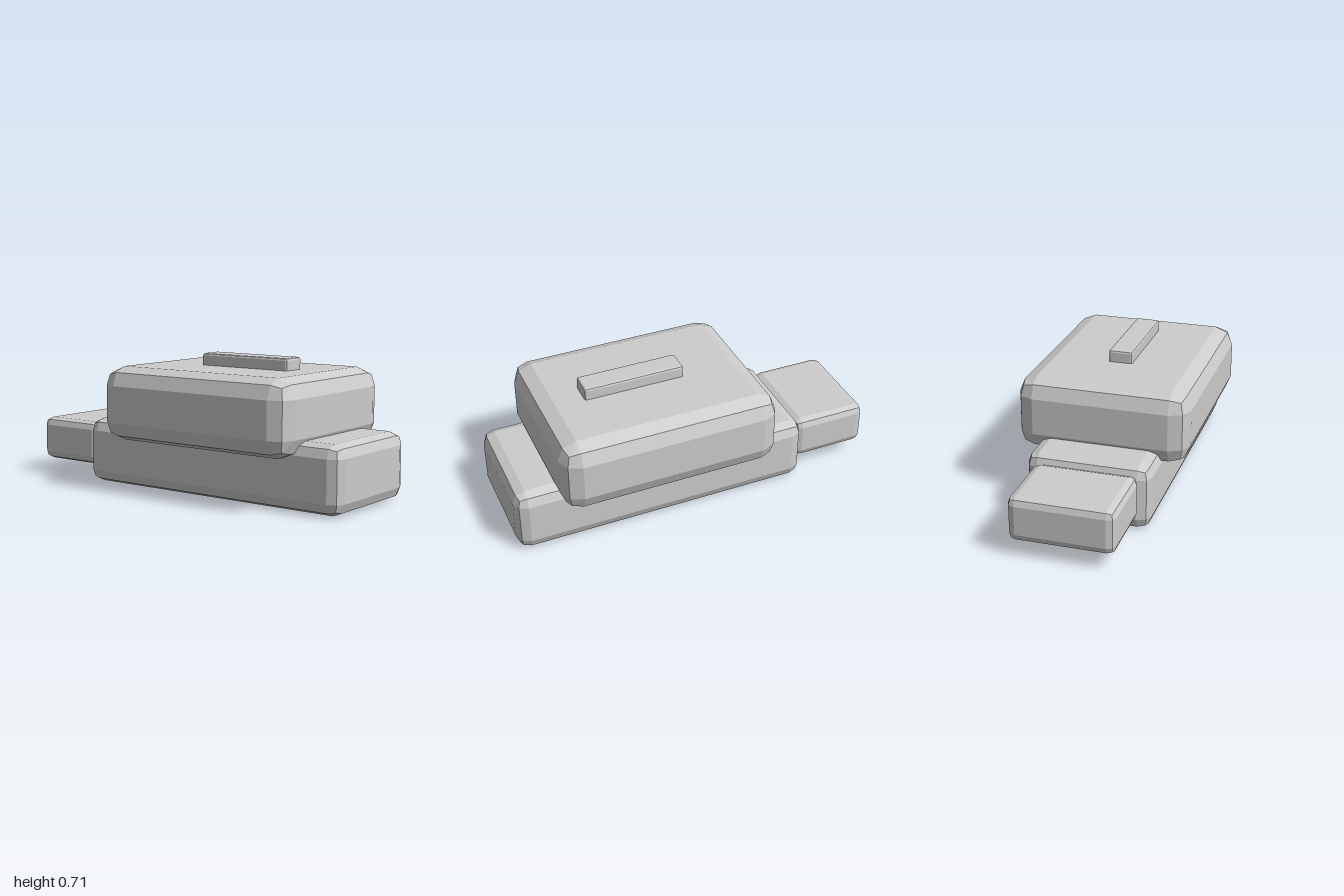
import * as THREE from 'three';
import { RoundedBoxGeometry } from 'three/addons/geometries/RoundedBoxGeometry.js';

export function createModel() {
  const model = new THREE.Group();
  model.name = 'model';
  const grey = new THREE.MeshStandardMaterial({ color: 0xcccccc, flatShading: true });
  grey.name = 'light grey';

  // Box with two-step bevelled edges, given by its x and y limits and its depth
  function block(name, [x0, x1], [y0, y1], depth, radius) {
    const geometry = new RoundedBoxGeometry(x1 - x0, y1 - y0, depth, 1, radius);
    geometry.computeVertexNormals(); // faceted bevels
    const mesh = new THREE.Mesh(geometry, grey);
    mesh.name = name;
    mesh.position.set((x0 + x1) / 2, (y0 + y1) / 2, 0);
    model.add(mesh);
  }

  block('lowerBody', [-0.6, 1], [0, 0.347], 0.65, 0.065);
  block('endBlock', [-1, -0.585], [0.078, 0.313], 0.54, 0.042);
  block('upperBody', [-0.39, 0.78], [0.262, 0.652], 0.911, 0.098);
  // The top bar is sunk slightly into the upper body
  block('topBar', [-0.01, 0.53], [0.6, 0.715], 0.128, 0.012);

  return model;
}
